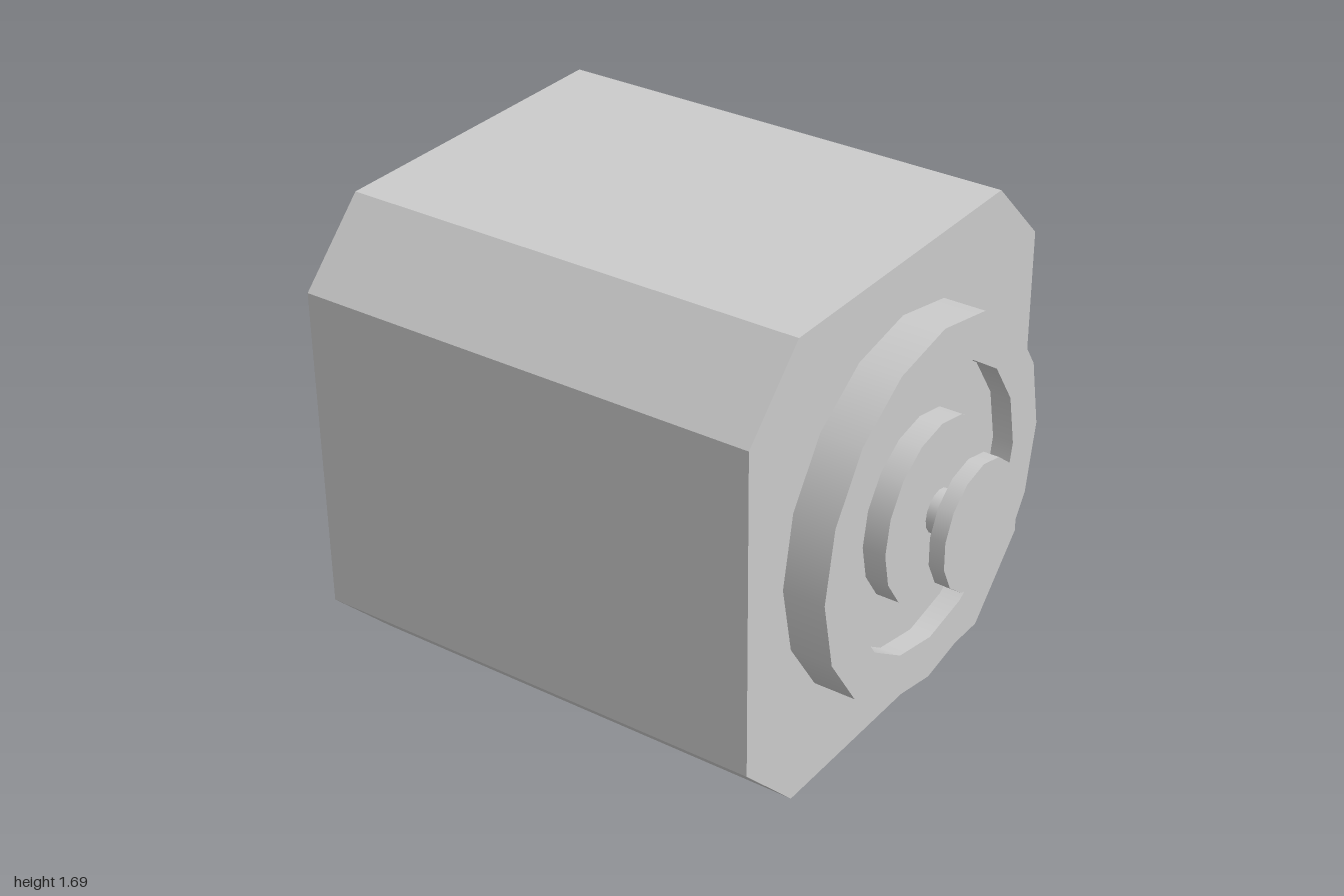
import * as THREE from 'three';
import { mergeGeometries } from 'three/addons/utils/BufferGeometryUtils.js';

const material = new THREE.MeshStandardMaterial({ color: 0xcccccc });
const HALF = 0.845;    // half the body's height and depth
const CHAMFER = 0.255;
const FRONT = 0.69;    // x of the body's mounting face

// Part turned about the x axis; profile points are [radius, x].
// Each profile segment is its own band, so rims stay sharp and walls smooth.
function turned(name, profile, sides = 16) {
  const bands = [];
  for (let i = 0; i < profile.length - 1; i++) {
    const points = [profile[i], profile[i + 1]].map(([r, x]) => new THREE.Vector2(r, x));
    bands.push(new THREE.LatheGeometry(points, sides, Math.PI / 2));
  }
  const geometry = mergeGeometries(bands);
  geometry.rotateZ(-Math.PI / 2);
  const mesh = new THREE.Mesh(geometry, material);
  mesh.name = name;
  mesh.position.y = HALF;
  return mesh;
}

// Chamfered square block, extruded along x
function makeBody() {
  const a = HALF, b = HALF - CHAMFER;
  const corners = [[b, -a], [a, -b], [a, b], [b, a], [-b, a], [-a, b], [-a, -b], [-b, -a]];
  const shape = new THREE.Shape(corners.map(([x, y]) => new THREE.Vector2(x, y)));
  const geometry = new THREE.ExtrudeGeometry(shape, { depth: FRONT + 1, bevelEnabled: false });
  geometry.rotateY(Math.PI / 2);
  const mesh = new THREE.Mesh(geometry, material);
  mesh.name = 'body';
  mesh.position.set(-1, HALF, 0);
  return mesh;
}

export function createModel() {
  const group = new THREE.Group();
  group.name = 'motor';
  group.add(
    makeBody(),
    // Raised collar with a recessed floor
    turned('collar', [[0.655, FRONT], [0.655, 0.84], [0.495, 0.84], [0.495, 0.765], [0, 0.765]]),
    turned('hub', [[0.32, 0.765], [0.32, 0.847], [0, 0.847]]),
    turned('shaft', [[0.077, 0.847], [0.077, 0.945]]),
    // Closed disc at the end of the shaft
    turned('endDisc', [[0, 0.945], [0.225, 0.945], [0.225, 1], [0, 1]], 14),
  );
  return group;
}
